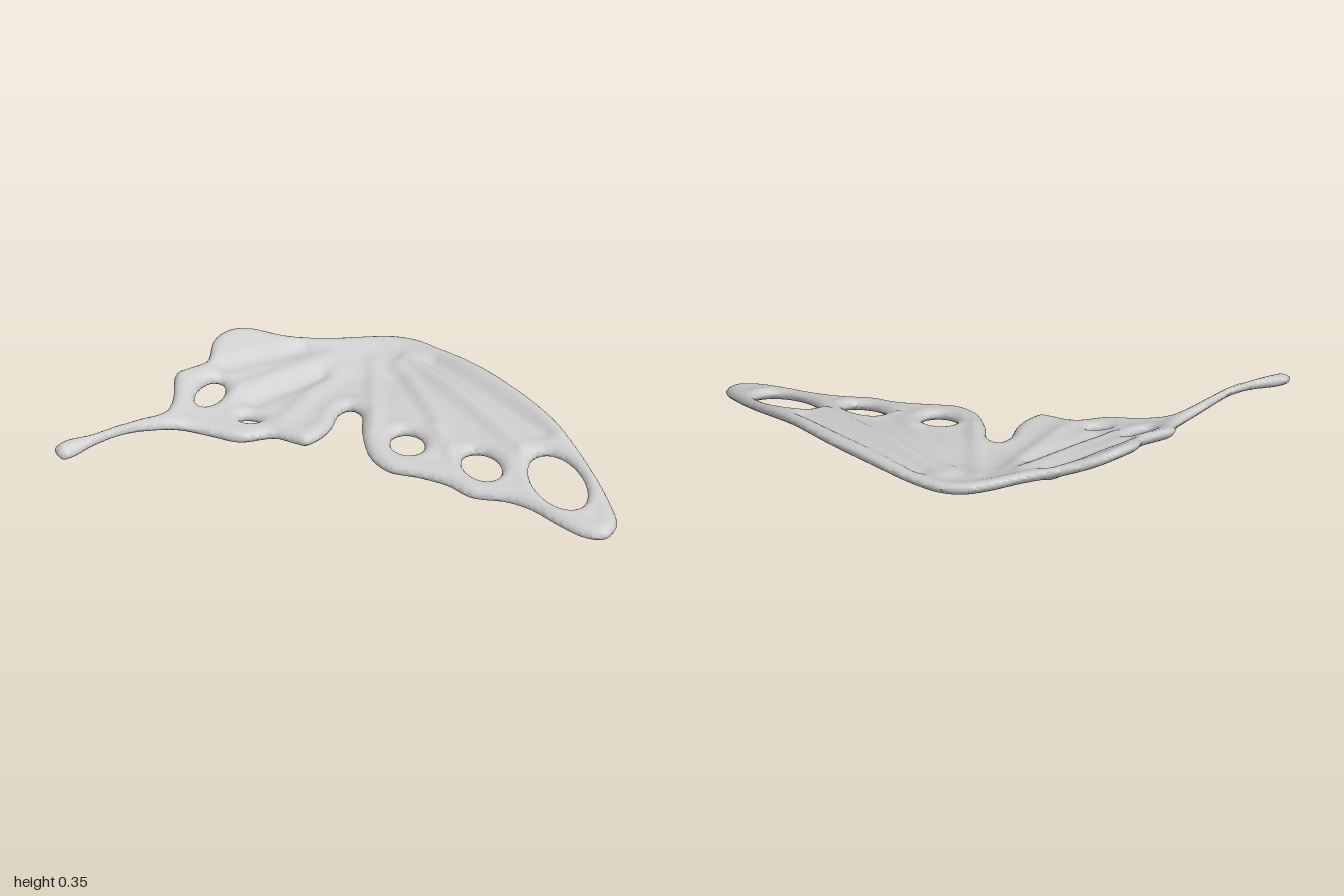
import * as THREE from 'three';
import { mergeVertices } from 'three/addons/utils/BufferGeometryUtils.js';

// Wing outline in plan, as [x, z]
const OUTLINE = [
  [0.10, -0.555], [0, -0.53], [-0.10, -0.49], [-0.24, -0.455], [-0.39, -0.43], [-0.46, -0.385],
  [-0.505, -0.32], [-0.52, -0.22], [-0.57, -0.175], [-0.62, -0.13], [-0.62, -0.02], [-0.64, 0.055],
  [-0.72, 0.15], [-0.80, 0.24], [-0.88, 0.305], [-0.97, 0.35], [-1.0, 0.39], [-0.97, 0.425],
  [-0.93, 0.405], [-0.87, 0.345], [-0.785, 0.27], [-0.69, 0.185], [-0.585, 0.12], [-0.48, 0.125],
  [-0.37, 0.145], [-0.25, 0.11], [-0.185, 0.135], [-0.135, 0.15], [-0.09, 0.11], [-0.055, 0.04],
  [-0.035, -0.06], [0, -0.10], [0.04, -0.06], [0.055, 0.055], [0.095, 0.19], [0.165, 0.26],
  [0.27, 0.28], [0.375, 0.31], [0.465, 0.365], [0.59, 0.38], [0.68, 0.415], [0.79, 0.49],
  [0.885, 0.54], [0.96, 0.54], [0.995, 0.48], [0.955, 0.36], [0.87, 0.20], [0.74, 0],
  [0.59, -0.19], [0.40, -0.385], [0.27, -0.49], [0.19, -0.54],
];

// Holes: centre x, z, long radius, short radius, angle of the long axis
const HOLES = [
  [-0.495, -0.075, 0.075, 0.042, -1.05],
  [-0.345, 0.03, 0.038, 0.02, -0.1],
  [0.22, 0.11, 0.072, 0.06, 1.2],
  [0.492, 0.215, 0.09, 0.063, 0.9],
  [0.768, 0.285, 0.155, 0.088, 1.0],
];

// Heights of the middle surface: x, z, y
const HEIGHTS = [
  [0.10, -0.55, 0.265], [0.40, -0.385, 0.255], [0.59, -0.19, 0.235], [0.74, 0, 0.205], [0.87, 0.20, 0.135],
  [0.97, 0.50, 0.03], [0.88, 0.53, 0.025], [0.66, 0.40, 0.07], [0.48, 0.35, 0.085], [0.27, 0.27, 0.115],
  [0.10, 0.18, 0.14], [0.02, -0.10, 0.19], [0.05, -0.32, 0.205], [0.32, -0.15, 0.205], [0.48, 0.05, 0.165],
  [-0.10, -0.49, 0.28], [-0.30, -0.44, 0.305], [-0.45, -0.37, 0.335], [-0.51, -0.25, 0.305],
  [-0.61, -0.07, 0.255], [-0.30, -0.20, 0.235], [-0.13, -0.15, 0.20], [-0.30, 0.0, 0.185],
  [-0.13, 0.13, 0.165], [-0.37, 0.13, 0.165], [-0.60, 0.08, 0.20], [-0.80, 0.255, 0.23], [-0.97, 0.39, 0.205],
];

// Veins: start x, z, end x, z, rise (negative for a furrow)
const VEINS = [
  [0.17, -0.42, 0.62, 0.14, 0.014], [0.14, -0.38, 0.37, 0.14, 0.012], [0.06, -0.40, 0.09, 0.05, 0.010],
  [0.26, -0.40, 0.70, 0.06, -0.014], [0.15, -0.30, 0.28, -0.02, -0.010],
  [-0.10, -0.38, -0.42, -0.08, 0.014], [-0.05, -0.34, -0.24, 0.05, 0.010], [-0.20, -0.40, -0.46, -0.2, -0.016],
  [-0.12, -0.27, -0.34, -0.06, -0.014],
];

// Thin-plate spline through the height points
function heightField(points) {
  const n = points.length, size = n + 3;
  const kernel = (dx, dz) => { const r = dx * dx + dz * dz; return r < 1e-12 ? 0 : r * Math.log(r); };
  const m = Array.from({ length: size }, () => new Array(size + 1).fill(0));
  points.forEach(([x, z, y], i) => {
    points.forEach((q, j) => { m[i][j] = kernel(x - q[0], z - q[1]); });
    [1, x, z].forEach((v, k) => { m[i][n + k] = m[n + k][i] = v; });
    m[i][size] = y;
  });
  for (let c = 0; c < size; c++) {
    let p = c;
    for (let r = c + 1; r < size; r++) if (Math.abs(m[r][c]) > Math.abs(m[p][c])) p = r;
    [m[c], m[p]] = [m[p], m[c]];
    for (let r = 0; r < size; r++) {
      if (r === c) continue;
      const f = m[r][c] / m[c][c];
      for (let k = c; k <= size; k++) m[r][k] -= f * m[c][k];
    }
  }
  const w = m.map((row, i) => row[size] / row[i]);
  return (x, z) => points.reduce((s, q, i) => s + w[i] * kernel(x - q[0], z - q[1]),
    w[n] + w[n + 1] * x + w[n + 2] * z);
}

function segmentDistance(x, z, ax, az, bx, bz) {
  const dx = bx - ax, dz = bz - az;
  const t = Math.min(1, Math.max(0, ((x - ax) * dx + (z - az) * dz) / (dx * dx + dz * dz)));
  return Math.hypot(x - ax - t * dx, z - az - t * dz);
}

// Distance to the nearest edge, positive inside the wing
function edgeDistance(loops, x, z) {
  let inside = false, best = Infinity;
  for (const loop of loops) {
    for (let i = 0, j = loop.length - 1; i < loop.length; j = i++) {
      const [ax, az] = loop[j], [bx, bz] = loop[i];
      best = Math.min(best, segmentDistance(x, z, ax, az, bx, bz));
      if ((az > z) !== (bz > z) && x < ax + ((z - az) / (bz - az)) * (bx - ax)) inside = !inside;
    }
  }
  return inside ? best : -best;
}

function wingGeometry() {
  const curve = new THREE.CatmullRomCurve3(OUTLINE.map(([x, z]) => new THREE.Vector3(x, 0, z)), true);
  const loops = [curve.getPoints(260).slice(0, -1).map((p) => [p.x, p.z])];
  for (const [cx, cz, a, b, turn] of HOLES) {
    const ellipse = new THREE.EllipseCurve(cx, cz, a, b, 0, Math.PI * 2, false, turn);
    loops.push(ellipse.getPoints(36).slice(0, -1).map((p) => [p.x, p.y]));
  }
  const base = heightField(HEIGHTS);

  // Middle surface with veins that fade towards the rim
  const middle = (x, z, d) => VEINS.reduce((y, [ax, az, bx, bz, rise]) => {
    const s = segmentDistance(x, z, ax, az, bx, bz) / 0.032;
    return y + rise * Math.exp(-s * s) * Math.min(1, d / 0.05);
  }, base(x, z));

  // Rounded rim, a little fuller than the sheet it surrounds
  const halfThickness = (d) => {
    const u = Math.min(1, d / 0.035);
    const bead = 0.005 * Math.exp(-(((d - 0.035) / 0.03) ** 2));
    return (0.019 + bead) * Math.sqrt(1 - (1 - u) ** 2);
  };

  // Grid cells cut along the outline and the holes
  const step = 0.01, x0 = -1.015, z0 = -0.575, nx = 204, nz = 114;
  const grid = [];
  for (let i = 0; i <= nx; i++) {
    grid.push([]);
    for (let j = 0; j <= nz; j++) {
      const x = x0 + i * step, z = z0 + j * step, d = edgeDistance(loops, x, z);
      const p = { x, z, d };
      if (d > 0) { p.y = middle(x, z, d); p.t = halfThickness(d); }
      grid[i].push(p);
    }
  }
  const cut = (a, b) => {
    const f = a.d / (a.d - b.d), x = a.x + f * (b.x - a.x), z = a.z + f * (b.z - a.z);
    return { x, z, y: base(x, z), t: 0 };
  };
  const positions = [];
  const add = (p, side) => positions.push(p.x, p.y + side * p.t, p.z);
  for (let i = 0; i < nx; i++) {
    for (let j = 0; j < nz; j++) {
      const cell = [grid[i][j], grid[i][j + 1], grid[i + 1][j + 1], grid[i + 1][j]];
      const poly = [];
      cell.forEach((a, k) => {
        const b = cell[(k + 1) % 4];
        if (a.d > 0) poly.push(a);
        if ((a.d > 0) !== (b.d > 0)) poly.push(a.d > 0 ? cut(a, b) : cut(b, a));
      });
      for (let k = 1; k + 1 < poly.length; k++) {
        [poly[0], poly[k], poly[k + 1]].forEach((p) => add(p, 1));
        [poly[0], poly[k + 1], poly[k]].forEach((p) => add(p, -1));
      }
    }
  }
  let geometry = new THREE.BufferGeometry();
  geometry.setAttribute('position', new THREE.Float32BufferAttribute(positions, 3));
  geometry = mergeVertices(geometry, 1e-4);
  geometry.computeVertexNormals();
  geometry.computeBoundingBox();
  geometry.translate(0, -geometry.boundingBox.min.y, 0);
  return geometry;
}

export function createModel() {
  const group = new THREE.Group();
  group.name = 'wingOrnament';
  const wing = new THREE.Mesh(wingGeometry(), new THREE.MeshStandardMaterial({ color: 0xcccccc }));
  wing.name = 'wingSheet';
  group.add(wing);
  return group;
}
